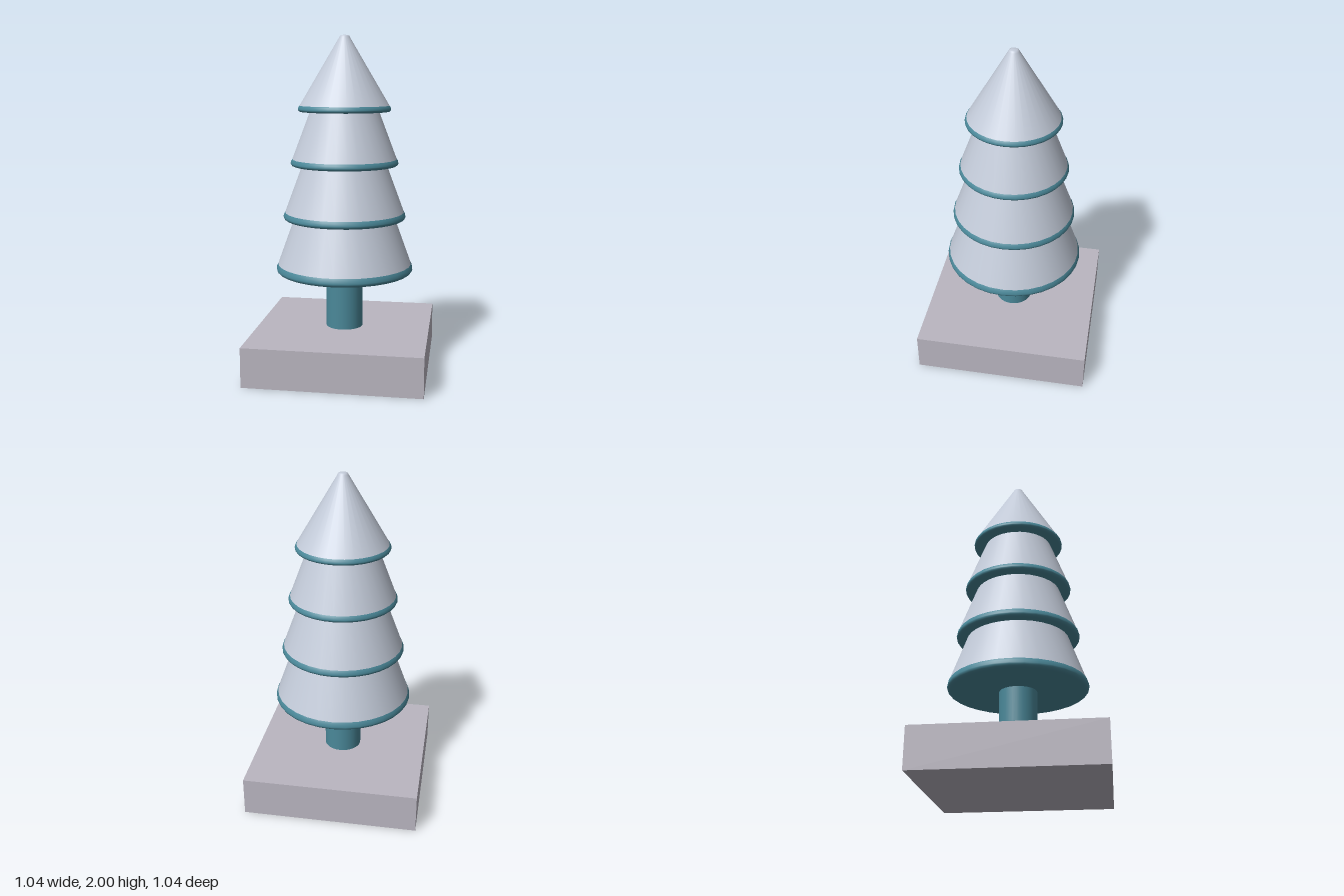
import * as THREE from 'three';

const SIDES = 32;
const snow = new THREE.MeshStandardMaterial({ color: 0xc3cbd9 });
const teal = new THREE.MeshStandardMaterial({ color: 0x4a8899 });
const stone = new THREE.MeshStandardMaterial({ color: 0xbab6c1 });

// Lathe built from [radius, height] pairs, listed bottom to top
function lathe(name, points, material) {
  const profile = points.map(([r, y]) => new THREE.Vector2(r, y));
  const mesh = new THREE.Mesh(new THREE.LatheGeometry(profile, SIDES), material);
  mesh.name = name;
  return mesh;
}

// One tier: a rounded rim closed underneath, and the sloping foliage above it
function makeTier({ y, r, h, topY, topR }, isTop) {
  const tier = new THREE.Group();
  const b = h * 0.45;
  const rim = [[0, y], [r - b - 0.002, y], [r - b, y]];
  for (let i = 1; i <= 6; i++) {
    const a = (i / 6) * Math.PI / 2;
    rim.push([r - b + b * Math.sin(a), y + b - b * Math.cos(a)]);
  }
  rim.push([r - 0.003, y + h * 0.75], [r - 0.01, y + h]);
  tier.add(lathe('rim', rim, teal));

  // The top tier ends in a small rounded tip, the others run under the next rim
  const slope = [[r - 0.01, y + h], [topR, topY]];
  if (isTop) slope.push([topR - 0.004, topY + 0.008], [topR - 0.012, topY + 0.012], [0, topY + 0.013]);
  tier.add(lathe('foliage', slope, snow));
  return tier;
}

export function createModel() {
  const model = new THREE.Group();
  model.name = 'tree';

  // Square base
  const base = new THREE.Mesh(new THREE.BoxGeometry(1.045, 0.237, 1.045), stone);
  base.name = 'base';
  base.position.y = 0.1185;
  model.add(base);

  // Trunk
  const trunk = new THREE.Mesh(new THREE.CylinderGeometry(0.112, 0.112, 0.36, SIDES), teal);
  trunk.name = 'trunk';
  trunk.position.y = 0.237 + 0.17;
  model.add(trunk);

  // Foliage tiers, bottom to top
  const tiers = [
    { y: 0.58, r: 0.416, h: 0.052, topY: 0.91, topR: 0.305 },
    { y: 0.905, r: 0.37, h: 0.045, topY: 1.24, topR: 0.252 },
    { y: 1.23, r: 0.324, h: 0.04, topY: 1.56, topR: 0.204 },
    { y: 1.552, r: 0.278, h: 0.036, topY: 1.987, topR: 0.031 },
  ];
  tiers.forEach((t, i) => {
    const tier = makeTier(t, i === tiers.length - 1);
    tier.name = `tier${i + 1}`;
    model.add(tier);
  });
  return model;
}
